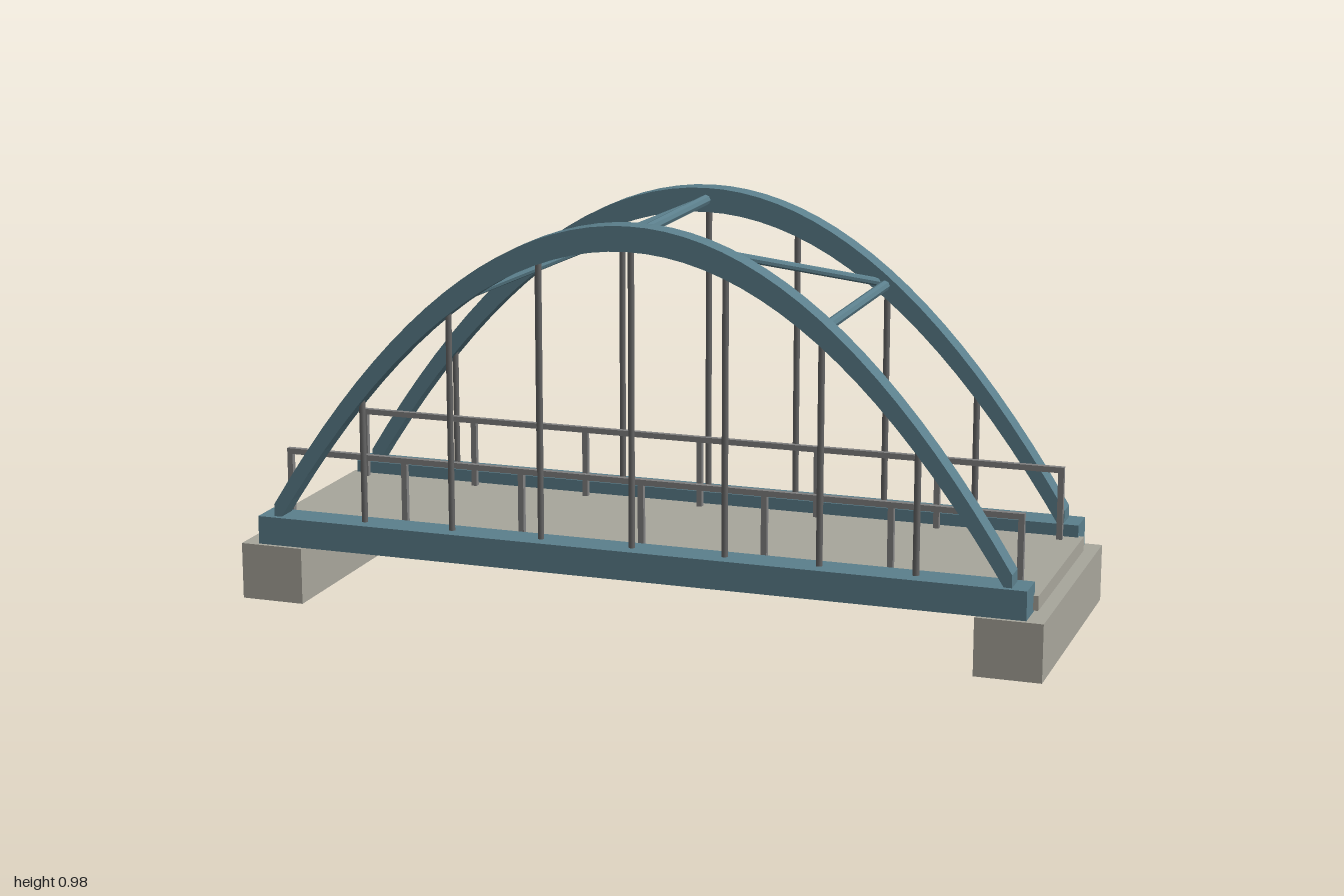
import * as THREE from 'three';

const steel = new THREE.MeshStandardMaterial({ color: 0x5b7f8c });
const concrete = new THREE.MeshStandardMaterial({ color: 0xa8a69c });
const cable = new THREE.MeshStandardMaterial({ color: 0x666666 });
const railing = new THREE.MeshStandardMaterial({ color: 0x808080 });
const brace = new THREE.MeshStandardMaterial({ color: 0x5b7f8c, flatShading: true });

const HALF_SPAN = 0.92, FOOT = 0.21, APEX = 0.953, ARCH_Z = 0.286;
const archY = (x) => APEX - (APEX - FOOT) * (x / HALF_SPAN) ** 2;

export function createModel() {
  const model = new THREE.Group();
  model.name = 'archBridge';

  const add = (name, geometry, material) => {
    const mesh = new THREE.Mesh(geometry, material);
    mesh.name = name;
    model.add(mesh);
    return mesh;
  };
  const box = (name, w, h, d, x, y, z, material) =>
    add(name, new THREE.BoxGeometry(w, h, d), material).position.set(x, y, z);

  // Round bar between two points
  const bar = (name, a, b, radius, material, sides = 8) => {
    const from = new THREE.Vector3(...a), to = new THREE.Vector3(...b);
    const dir = to.clone().sub(from);
    const mesh = add(name, new THREE.CylinderGeometry(radius, radius, dir.length(), sides), material);
    mesh.position.copy(from).add(to).multiplyScalar(0.5);
    mesh.quaternion.setFromUnitVectors(new THREE.Vector3(0, 1, 0), dir.normalize());
  };

  // Deck and end abutments
  box('deck', 1.94, 0.035, 0.516, 0, 0.1625, 0, concrete);
  for (const s of [-1, 1]) box('abutment', 0.16, 0.14, 0.674, s * 0.92, 0.07, 0, concrete);

  // Parabolic arch rib with constant vertical depth
  const outline = [];
  const steps = 40, halfDepth = 0.03, ribWidth = 0.056;
  for (let i = 0; i <= steps; i++) {
    const x = HALF_SPAN * (1 - 2 * i / steps);
    outline.push(new THREE.Vector2(x, archY(x) + halfDepth));
  }
  for (let i = steps; i >= 0; i--) {
    const x = HALF_SPAN * (1 - 2 * i / steps);
    outline.push(new THREE.Vector2(x, archY(x) - halfDepth));
  }
  const ribGeometry = new THREE.ExtrudeGeometry(new THREE.Shape(outline), {
    depth: ribWidth, bevelEnabled: false,
  }).translate(0, 0, -ribWidth / 2);

  for (const s of [-1, 1]) {
    const z = s * ARCH_Z;
    add('archRib', ribGeometry, steel).position.z = z;
    box('edgeBeam', 1.916, 0.07, 0.082, 0, 0.175, z, steel);

    // Vertical hangers
    for (let i = -3; i <= 3; i++) {
      const x = i * HALF_SPAN / 4;
      bar('hanger', [x, 0.2, z], [x, archY(x), z], 0.008, cable);
    }

    // Handrail with posts
    const railZ = s * 0.218;
    for (let i = -3; i <= 3; i++) {
      box('railPost', 0.014, 0.175, 0.014, i * 0.306, 0.2675, railZ, railing);
    }
    box('handrail', 1.85, 0.014, 0.014, 0, 0.353, railZ, railing);
  }

  // Struts joining the two ribs
  const strutX = [-HALF_SPAN / 2, 0, HALF_SPAN / 2];
  for (const x of strutX) {
    bar('crossStrut', [x, archY(x), -ARCH_Z], [x, archY(x), ARCH_Z], 0.013, brace);
  }

  // Diagonal bracing between neighbouring struts
  for (let i = 0; i < 2; i++) {
    const a = strutX[i], b = strutX[i + 1];
    bar('diagonalBrace', [a, archY(a), ARCH_Z], [b, archY(b), -ARCH_Z], 0.01, brace);
  }

  return model;
}
